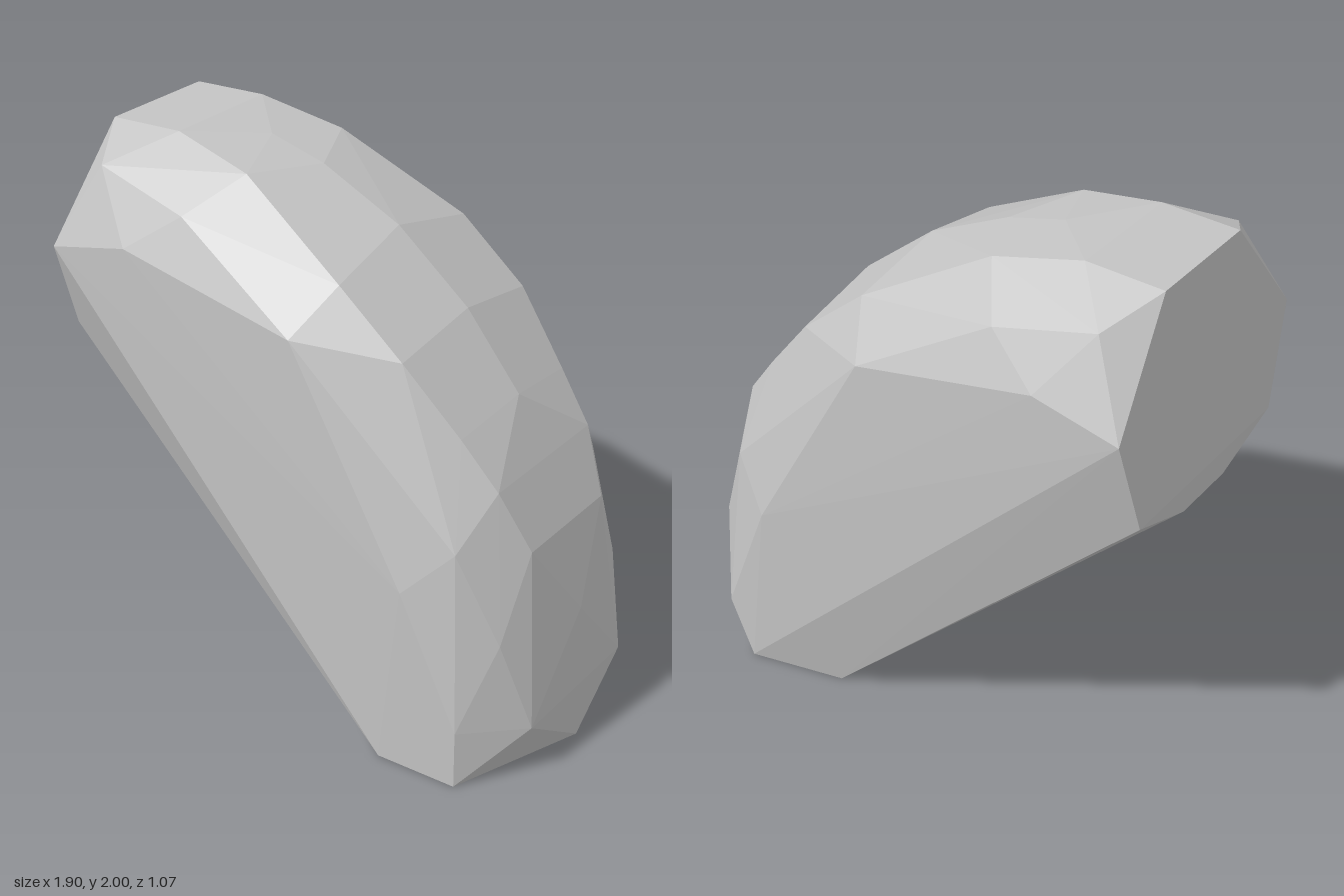
import * as THREE from 'three';
import { ConvexGeometry } from 'three/addons/geometries/ConvexGeometry.js';

export function createModel() {
  const stone = new THREE.MeshStandardMaterial({ color: 0xc4c4c4 });
  stone.name = 'light stone grey';

  // Points along the curved crest, on the centre line: x, y
  const crest = [
    [-0.37, 1.97], [-0.15, 1.91], [0.16, 1.76], [0.44, 1.53], [0.65, 1.27],
    [0.93, 0.53], [0.95, 0.23], [0.94, 0],
  ];

  // Points of one half, mirrored front to back: x, y, z
  const half = [
    // shoulder beside the crest
    [-0.88, 1.99, 0.23], [-0.59, 2.0, 0.23], [-0.27, 1.93, 0.27], [0.18, 1.68, 0.37],
    [0.43, 1.47, 0.37], [0.63, 1.23, 0.32], [0.76, 1.06, 0.29], [0.86, 0.84, 0.23],
    [0.84, 0.54, 0.38], [0.93, 0.2, 0.3],
    // rim of the flat side
    [-0.77, 1.9, 0.43], [-0.4, 1.81, 0.46], [-0.92, 1.6, 0.535], [-0.6, 1.67, 0.535],
    [0.09, 1.52, 0.53], [0.7, 0.88, 0.45], [0.54, 0.72, 0.535], [0.75, 0.22, 0.505],
  ];

  // Uneven underside: the foot, then the lower edge of the upper end
  const underside = [
    [0.75, 0, 0.505], [0.44, 0, 0.51], [0.2, 0, 0.29],
    [0.18, 0, -0.05], [0.29, 0, -0.43], [0.65, 0, -0.51],
    [-0.955, 1.25, 0.4], [-0.955, 1.15, 0.1], [-0.955, 1.15, -0.16], [-0.955, 1.25, -0.44],
  ];

  const points = crest.map(([x, y]) => new THREE.Vector3(x, y, 0));
  for (const [x, y, z] of half) {
    points.push(new THREE.Vector3(x, y, z), new THREE.Vector3(x, y, -z));
  }
  for (const p of underside) points.push(new THREE.Vector3(...p));

  // The hull has one normal per facet
  const boulder = new THREE.Mesh(new ConvexGeometry(points), stone);
  boulder.name = 'boulder';

  const model = new THREE.Group();
  model.name = 'leaningRock';
  model.add(boulder);
  return model;
}
